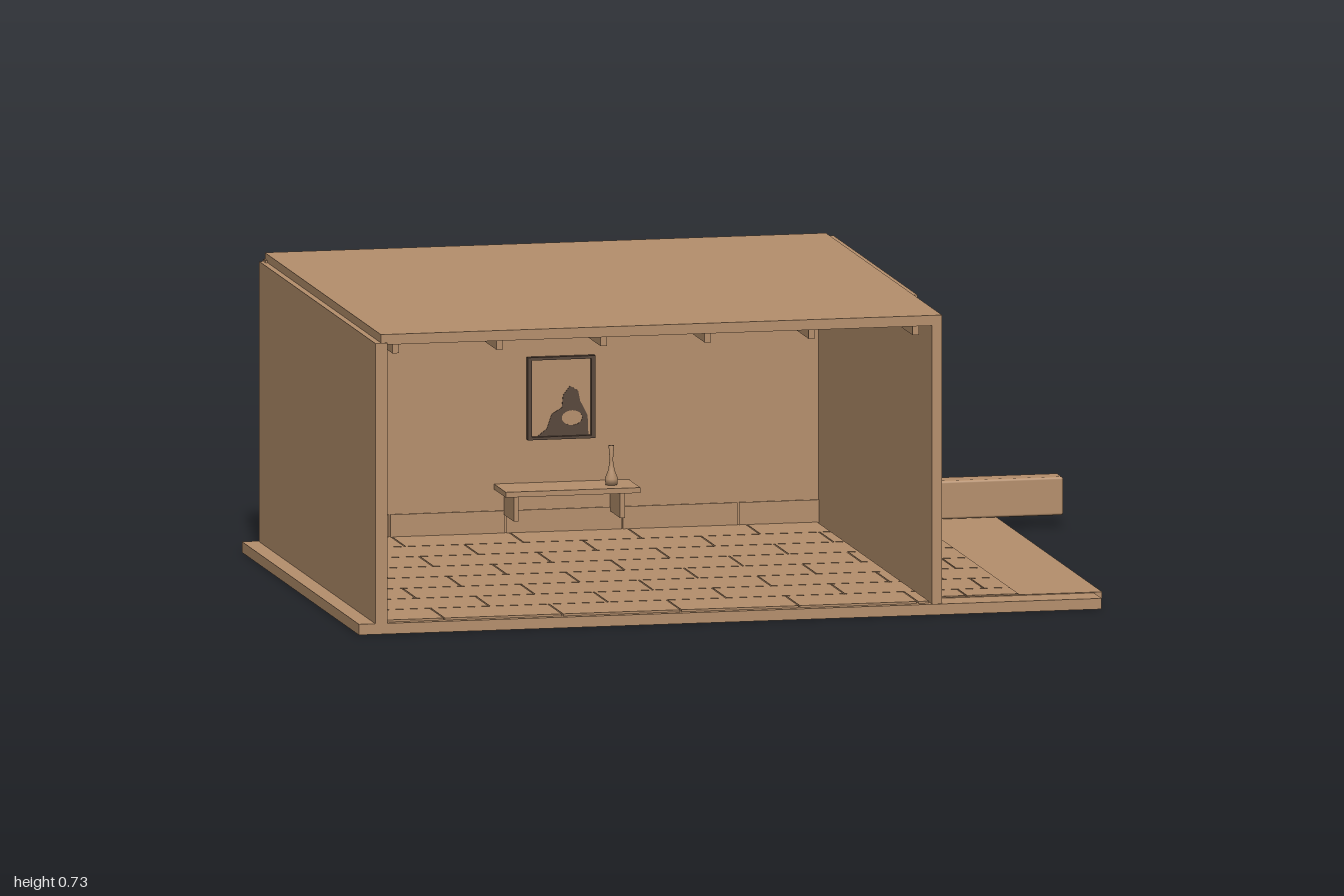
import * as THREE from 'three';
import { RoundedBoxGeometry } from 'three/addons/geometries/RoundedBoxGeometry.js';

export function createModel() {
  const root = new THREE.Group();
  root.name = 'openRoom';
  const clay = new THREE.MeshStandardMaterial({ color: 0xb58f6c });
  clay.name = 'clay tan';
  const dark = new THREE.MeshStandardMaterial({ color: 0x58463a });
  dark.name = 'dark brown';

  const group = (name, parent = root) => {
    const g = new THREE.Group();
    g.name = name;
    parent.add(g);
    return g;
  };
  const add = (name, geo, parent = root, mat = clay) => {
    const m = new THREE.Mesh(geo, mat);
    m.name = name;
    parent.add(m);
    return m;
  };
  // Box given by its limits on each axis
  const box = (name, x0, x1, y0, y1, z0, z1, parent, mat) => {
    const m = add(name, new THREE.BoxGeometry(x1 - x0, y1 - y0, z1 - z0), parent, mat);
    m.position.set((x0 + x1) / 2, (y0 + y1) / 2, (z0 + z1) / 2);
    return m;
  };
  // Shape drawn in (-z, y), extruded towards +x from x0
  const sideExtrude = (name, shape, x0, depth, parent) => {
    const geo = new THREE.ExtrudeGeometry(shape, { depth, bevelEnabled: false, curveSegments: 24 });
    geo.rotateY(Math.PI / 2);
    geo.translate(x0, 0, 0);
    return add(name, geo, parent);
  };

  // Ground slabs, walls and roof
  box('floorSlab', -1, 0.82, 0, 0.026, -0.585, 0.705);
  box('yardSlab', 0.29, 0.84, 0.012, 0.028, -0.71, 0.62);
  box('leftWall', -0.96, -0.93, 0.026, 0.705, -0.575, 0.705);
  box('backWall', -0.95, 0.43, 0.026, 0.71, -0.575, -0.55);
  box('rightWall', 0.405, 0.43, 0.026, 0.71, -0.575, 0.7);
  box('rightWallPanel', 0.43, 0.441, 0.026, 0.7, -0.55, 0.355);
  box('cornerPost', 0.425, 0.436, 0.026, 0.7, -0.565, -0.55);
  box('roof', -0.945, 0.43, 0.7, 0.725, -0.58, 0.7);
  box('roofTrim', 0.43, 0.446, 0.7, 0.72, -0.57, 0.355);

  // Staggered paving, clipped to the given area
  function pave(name, x0, x1, z0, z1, y0, y1, len, row) {
    const g = group(name);
    const gap = 0.004;
    for (let r = 0, z = z0; z < z1 - 0.01; r++, z += row) {
      const zEnd = Math.min(z + row, z1) - gap;
      for (let x = x0 - (r % 2) * len / 2; x < x1 - 0.01; x += len) {
        const a = Math.max(x, x0), b = Math.min(x + len, x1) - gap;
        box('paver', a, b, y0, y1, z, zEnd, g);
      }
    }
  }
  pave('roomPaving', -0.93, 0.405, -0.55, 0.7, 0.026, 0.031, 0.29, 0.155);
  pave('yardPaving', 0.445, 0.64, -0.565, 0.62, 0.027, 0.03, 0.13, 0.155);

  // Ceiling beams
  const beams = group('ceilingBeams');
  for (let i = 0; i < 6; i++) {
    const x = -0.9 + i * 0.255;
    box('beam', x - 0.008, x + 0.008, 0.672, 0.7, -0.55, 0.66, beams);
  }
  box('backBeam', -0.93, 0.405, 0.672, 0.697, -0.55, -0.535, beams);

  // Stone skirting at the foot of the back wall
  const skirting = group('skirting');
  for (let x = -0.93; x < 0.4; x += 0.285) {
    box('skirtingStone', x, Math.min(x + 0.281, 0.405), 0.03, 0.085, -0.55, -0.546, skirting);
  }

  // Brick fields either side of the door
  const bricks = group('bricks');
  for (const [zMin, zMax] of [[0.11, 0.35], [-0.545, -0.305]]) {
    for (let r = 0; r < 15; r++) {
      const y = 0.05 + r * 0.04;
      for (let z = zMin - (r % 2) * 0.05; z < zMax - 0.01; z += 0.1) {
        const a = Math.max(z, zMin), b = Math.min(z + 0.1, zMax) - 0.005;
        box('brick', 0.441, 0.445, y, y + 0.035, a, b, bricks);
      }
    }
  }

  // Arched door, centred on z = -0.1
  const door = group('door');
  const zc = -0.1, spring = 0.44, radius = 0.18, planks = 9;
  const step = 2 * radius / planks;
  for (let i = 0; i < planks; i++) {
    const a = -radius + i * step + 0.002, b = a + step - 0.004;
    const s = new THREE.Shape();
    s.moveTo(a - zc, 0.03);
    s.lineTo(b - zc, 0.03);
    for (let k = 0; k <= 4; k++) {
      const u = b + (a - b) * k / 4;
      s.lineTo(u - zc, spring + Math.sqrt(Math.max(0, radius * radius - u * u)));
    }
    sideExtrude('doorPlank', s, 0.441, 0.003, door);
  }
  // Arch stones and jambs
  const stones = 15;
  for (let i = 0; i < stones; i++) {
    const t0 = Math.PI * i / stones + 0.012, t1 = Math.PI * (i + 1) / stones - 0.012;
    const s = new THREE.Shape();
    s.absarc(-zc, spring, 0.202, t0, t1, false);
    s.absarc(-zc, spring, 0.183, t1, t0, true);
    sideExtrude('archStone', s, 0.441, 0.005, door);
  }
  for (const side of [-1, 1]) {
    const z = zc + side * 0.1925;
    box('doorJamb', 0.441, 0.446, 0.03, spring, z - 0.0095, z + 0.0095, door);
  }
  // Iron straps, studs and ring
  for (const y of [0.155, 0.373]) {
    box('hingeStrap', 0.443, 0.448, y - 0.01, y + 0.01, -0.28, 0.06, door, dark);
    for (const z of [-0.25, -0.12, 0.03]) {
      const stud = add('strapStud', new THREE.SphereGeometry(0.004, 8, 6), door, dark);
      stud.position.set(0.447, y, z);
    }
  }
  const ring = add('doorRing', new THREE.TorusGeometry(0.017, 0.003, 8, 24), door);
  ring.rotation.y = Math.PI / 2;
  ring.position.set(0.446, 0.262, 0.015);

  // Beam lying outside by the back corner
  const log = add('outsideBeam', new RoundedBoxGeometry(0.545, 0.093, 0.06, 2, 0.006));
  log.position.set(0.7275, 0.0765, -0.555);

  // Framed picture on the back wall
  const picture = group('picture');
  box('pictureBoard', -0.305, -0.15, 0.26, 0.45, -0.55, -0.546, picture);
  for (const x of [-0.31, -0.155]) {
    box('frameSide', x, x + 0.01, 0.255, 0.455, -0.55, -0.535, picture, dark);
  }
  for (const y of [0.255, 0.448]) {
    box('frameRail', -0.3, -0.155, y, y + 0.007, -0.55, -0.535, picture, dark);
  }
  const figure = new THREE.Shape([
    [-0.285, 0.262], [-0.16, 0.262], [-0.162, 0.31], [-0.18, 0.345], [-0.185, 0.37],
    [-0.205, 0.382], [-0.222, 0.36], [-0.225, 0.33], [-0.25, 0.315], [-0.262, 0.28],
  ].map(([x, y]) => new THREE.Vector2(x, y)));
  const face = new THREE.Path();
  face.absellipse(-0.2, 0.305, 0.025, 0.018, 0, Math.PI * 2, true);
  figure.holes.push(face);
  const paint = add('paintedFigure', new THREE.ExtrudeGeometry(figure, { depth: 0.002, bevelEnabled: false }), picture, dark);
  paint.position.z = -0.546;

  // Wall table with bracket legs, and a slender vase on it
  const table = group('wallTable');
  box('tableTop', -0.39, -0.06, 0.137, 0.15, -0.55, -0.42, table);
  for (const x of [-0.36, -0.1]) {
    box('tableLeg', x - 0.006, x + 0.006, 0.075, 0.137, -0.55, -0.44, table);
  }
  const profile = [[0, 0], [0.014, 0], [0.016, 0.015], [0.008, 0.035], [0.004, 0.06], [0.007, 0.095], [0, 0.095]]
    .map(([r, y]) => new THREE.Vector2(r, y));
  const vase = add('vase', new THREE.LatheGeometry(profile, 16), table);
  vase.position.set(-0.118, 0.15, -0.48);

  return root;
}
